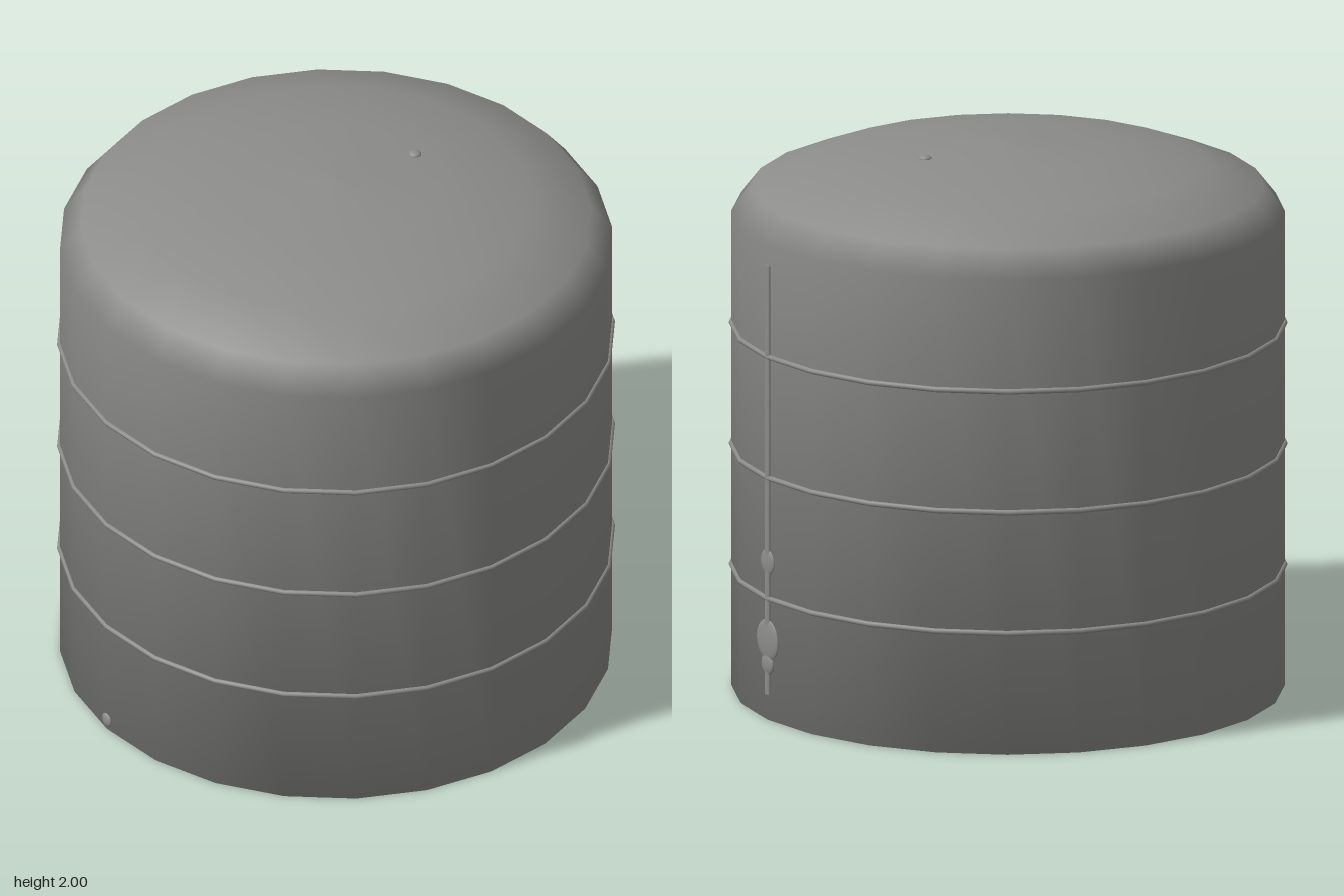
import * as THREE from 'three';

const SIDES = 24;
const RADIUS = 0.988;

export function createModel() {
  const group = new THREE.Group();
  const steel = new THREE.MeshStandardMaterial({ color: 0x8c8c8a });
  steel.name = 'grey steel';

  function add(name, geometry, x = 0, y = 0, z = 0) {
    const mesh = new THREE.Mesh(geometry, steel);
    mesh.name = name;
    mesh.position.set(x, y, z);
    group.add(mesh);
    return mesh;
  }

  // Closed tank: floor, wall, bevelled shoulder and shallow domed roof
  const profile = [
    [0, 0], [RADIUS, 0], [RADIUS, 1.75], [0.913, 1.845],
    [0.7, 1.926], [0.38, 1.984], [0, 2],
  ].map(([r, y]) => new THREE.Vector2(r, y));
  add('tankShell', new THREE.LatheGeometry(profile, SIDES));

  // Three reinforcing hoops around the wall
  [0.447, 0.892, 1.338].forEach((y, i) => {
    const hoop = new THREE.TorusGeometry(RADIUS, 0.01, 8, SIDES);
    hoop.rotateX(Math.PI / 2);
    add('hoop' + (i + 1), hoop, 0, y, 0);
  });

  // Level pipe, sunk into the wall on the +x side
  const pipe = new THREE.CylinderGeometry(0.016, 0.016, 1.58, 12);
  pipe.scale(0.5, 1, 1);
  add('levelPipe', pipe, RADIUS, 0.885, 0);

  // Flattened round fittings
  function fitting(name, radius, depth, axis, x, y) {
    const ball = new THREE.SphereGeometry(radius, 20, 14);
    const s = depth / radius;
    ball.scale(axis === 'x' ? s : 1, axis === 'y' ? s : 1, 1);
    add(name, ball, x, y, 0);
  }
  fitting('upperGauge', 0.046, 0.009, 'x', RADIUS, 0.582);
  fitting('mainGauge', 0.075, 0.011, 'x', RADIUS, 0.295);
  fitting('lowerValve', 0.04, 0.011, 'x', RADIUS, 0.206);
  fitting('drainValve', 0.026, 0.01, 'x', -RADIUS, 0.04);
  fitting('roofVent', 0.023, 0.012, 'y', 0.34, 1.986);

  return group;
}
